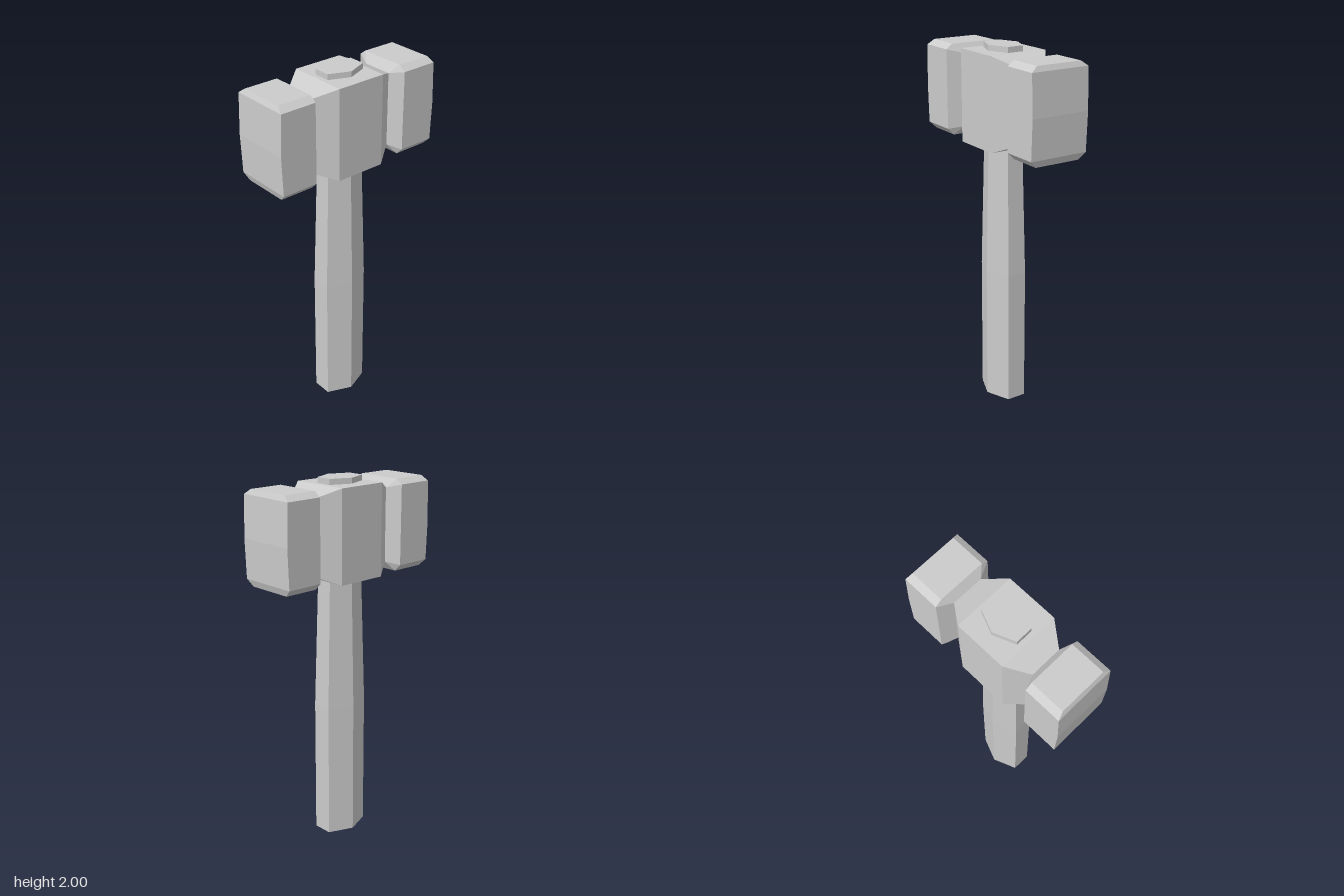
import * as THREE from 'three';

const material = new THREE.MeshStandardMaterial({ color: 0xcccccc, flatShading: true });

// Ten-point ring, counter-clockwise seen from +z, with optional corner chamfers.
// endSign bows the ring outward at mid height so the striking face is domed.
function ring({ z, w, top, bottom, cx = 0, cTop = 0, cBottom = 0, endSign = 0 }) {
  const mid = (top + bottom) / 2;
  const half = [
    [w, mid, 0], [w, top - cTop, 0.008], [w - cx, top, 0.021],
  ];
  const low = [[w - cx, bottom, 0.021], [w, bottom + cBottom, 0.008]];
  const flip = ([x, y, d]) => [-x, y, d];
  return [
    ...half, ...[...half].reverse().map(flip),
    ...[...low].reverse().map(flip), ...low,
  ].map(([x, y, d]) => new THREE.Vector3(x, y, z - endSign * d));
}

// Skin consecutive rings and close both ends with horizontal strips
function loft(rings) {
  const pos = [];
  const quad = (a, b, c, d) => [a, b, c, a, c, d].forEach((p) => pos.push(p.x, p.y, p.z));
  for (let i = 0; i < rings.length - 1; i++) {
    const r = rings[i], s = rings[i + 1], n = r.length;
    for (let j = 0; j < n; j++) quad(r[j], r[(j + 1) % n], s[(j + 1) % n], s[j]);
  }
  const back = rings[0], front = rings[rings.length - 1];
  for (const [a, b, c, d] of [[1, 2, 3, 4], [0, 1, 4, 5], [9, 0, 5, 6], [8, 9, 6, 7]]) {
    quad(front[a], front[b], front[c], front[d]);
    quad(back[d], back[c], back[b], back[a]);
  }
  const geometry = new THREE.BufferGeometry();
  geometry.setAttribute('position', new THREE.Float32BufferAttribute(pos, 3));
  geometry.computeVertexNormals();
  return geometry;
}

export function createModel() {
  const group = new THREE.Group();

  // Head: chamfered striking block, narrow neck and wide centre, mirrored in z
  const block = { w: 0.167, top: 1.97, bottom: 1.475, cx: 0.037, cTop: 0.027, cBottom: 0.037 };
  const sections = (s) => [
    ring({ ...block, z: s * 0.498, endSign: s }),
    ring({ ...block, z: s * 0.287 }),
    ring({ z: s * 0.252, w: 0.086, top: 1.922, bottom: 1.523 }),
    ring({ z: s * 0.14, w: 0.167, top: 1.97, bottom: 1.475 }),
  ];
  const head = new THREE.Mesh(loft([...sections(-1), ...sections(1).reverse()]), material);
  head.name = 'hammerHead';
  group.add(head);

  // Handle: six-sided shaft, straight grip then tapering up through the head
  const profile = [[0, 0], [1, 0], [1, 0.76], [0.84, 1.48], [0.84, 2], [0, 2]]
    .map(([r, y]) => new THREE.Vector2(r, y));
  const shaft = new THREE.LatheGeometry(profile, 6, Math.PI / 2);
  shaft.scale(0.109, 1, 0.156);
  const shaftFlat = shaft.toNonIndexed();
  shaftFlat.computeVertexNormals();
  const handle = new THREE.Mesh(shaftFlat, material);
  handle.name = 'handle';
  group.add(handle);

  return group;
}
